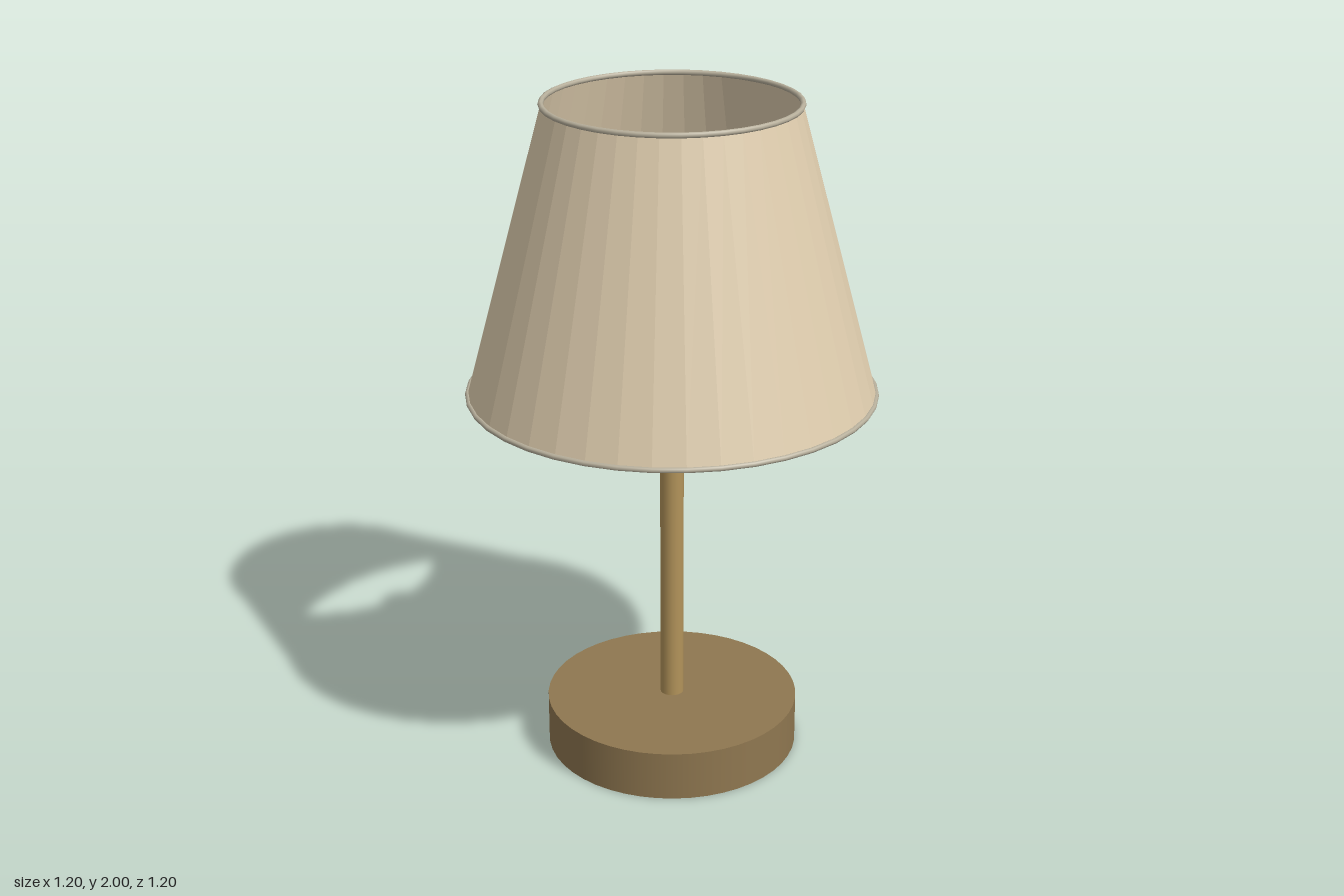
import * as THREE from 'three';

export function createModel() {
  const lamp = new THREE.Group();
  lamp.name = 'tableLamp';

  const add = (name, geometry, y, color, options = {}) => {
    const material = new THREE.MeshStandardMaterial({ color, ...options });
    const mesh = new THREE.Mesh(geometry, material);
    mesh.name = name;
    mesh.position.y = y;
    lamp.add(mesh);
    return mesh;
  };

  // Round foot and slim stem reaching into the bulb
  add('base', new THREE.CylinderGeometry(0.38, 0.38, 0.15, 48), 0.075, 0x8f7750);
  add('stem', new THREE.CylinderGeometry(0.035, 0.035, 1.2, 20), 0.75, 0xb2935a);

  // Elongated bulb
  const bulb = add('bulb', new THREE.SphereGeometry(0.107, 12, 12), 1.43, 0xffd095);
  bulb.scale.y = 1.4;

  // Open faceted shade
  const bottom = 1.147, top = 1.992;
  add('shade', new THREE.CylinderGeometry(0.361, 0.59, top - bottom, 40, 1, true),
    (top + bottom) / 2, 0xe0ceaf, { side: THREE.DoubleSide, flatShading: true });

  // Thin hoops on both edges of the shade
  for (const [name, radius, y] of [['topRim', 0.361, top], ['bottomRim', 0.59, bottom]]) {
    add(name, new THREE.TorusGeometry(radius, 0.008, 8, 40).rotateX(Math.PI / 2), y, 0xb8b09c);
  }

  return lamp;
}
